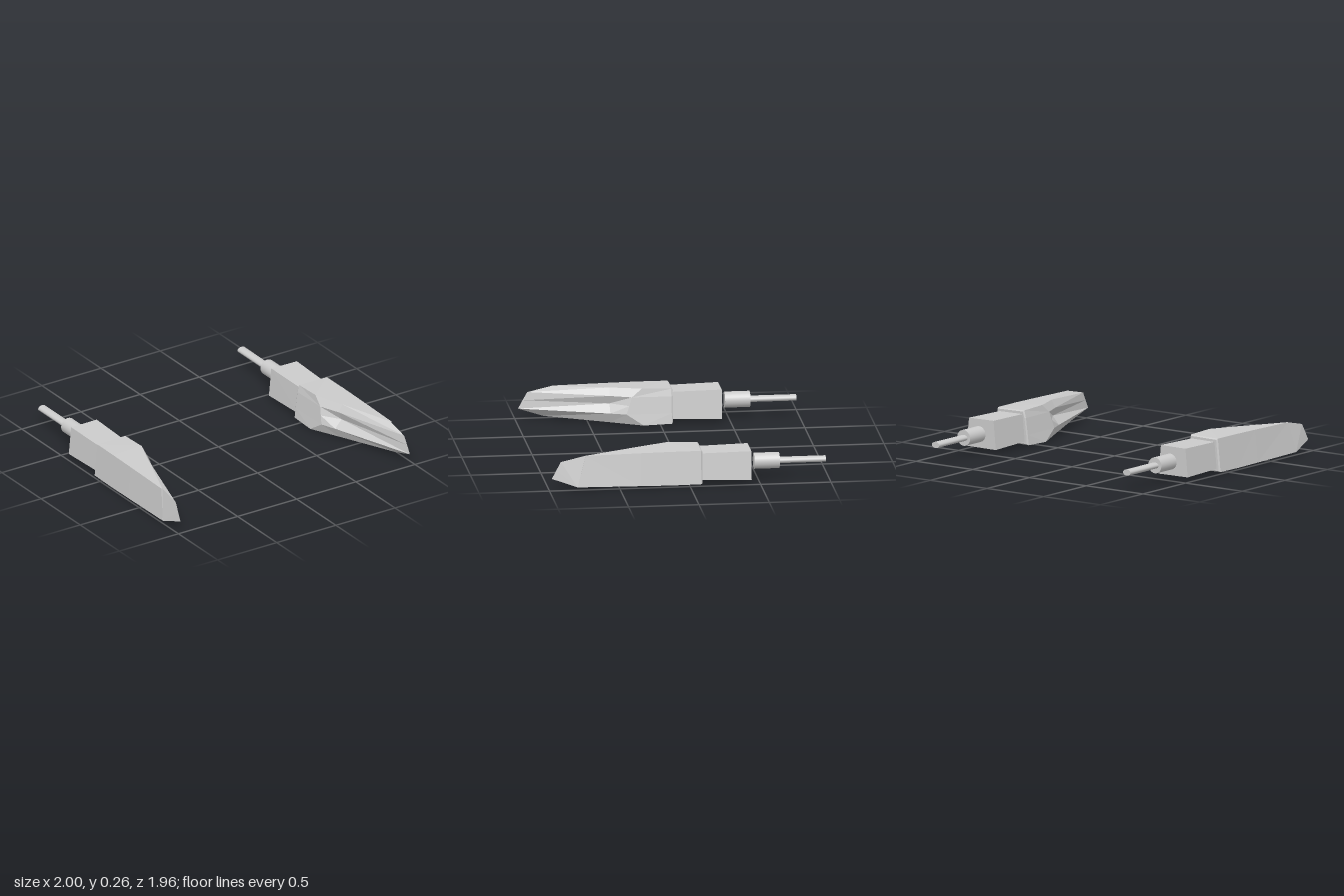
import * as THREE from 'three';

const smooth = new THREE.MeshStandardMaterial({ color: 0xcccccc });
const faceted = new THREE.MeshStandardMaterial({ color: 0xcccccc, flatShading: true });

// Skin rings of [x, y, z] points from back to front and cap both ends; side = -1 mirrors in x
function loft(rings, side) {
  const n = rings[0].length;
  const positions = [];
  const tri = (a, b, c) => {
    for (const p of side > 0 ? [a, b, c] : [a, c, b]) positions.push(p[0] * side, p[1], p[2]);
  };
  for (let s = 0; s < rings.length - 1; s++) {
    for (let j = 0; j < n; j++) {
      const k = (j + 1) % n;
      const [a, b, c, d] = [rings[s][j], rings[s][k], rings[s + 1][k], rings[s + 1][j]];
      tri(a, b, c);
      tri(a, c, d);
    }
  }
  const back = rings[0], front = rings[rings.length - 1];
  for (let j = 1; j < n - 1; j++) {
    tri(back[0], back[j + 1], back[j]);
    tri(front[0], front[j], front[j + 1]);
  }
  const geometry = new THREE.BufferGeometry();
  geometry.setAttribute('position', new THREE.Float32BufferAttribute(positions, 3));
  geometry.computeVertexNormals();
  return geometry;
}

// Each ring: outer bottom, outer top, inner top, inner upper, groove, inner lower, inner bottom
const bodyRings = [
  // slightly bevelled back edge
  [[0.985, 0.02, -0.09], [0.962, 0.242, -0.09], [0.742, 0.245, -0.09], [0.728, 0.2, -0.09],
    [0.72, 0.14, -0.09], [0.712, 0.08, -0.09], [0.708, 0.015, -0.09]],
  [[0.994, 0.013, -0.08], [0.97, 0.25, -0.08], [0.735, 0.253, -0.08], [0.722, 0.2, -0.08],
    [0.714, 0.14, -0.08], [0.706, 0.08, -0.08], [0.697, 0.007, -0.08]],
  // bend where the inner side starts to taper
  [[0.996, 0.011, 0.12], [0.972, 0.25, 0.13], [0.735, 0.26, 0.13], [0.728, 0.2, 0.2],
    [0.72, 0.14, 0.22], [0.712, 0.08, 0.24], [0.697, 0, 0.12]],
  // recessed groove in the taper
  [[0.998, 0.014, 0.35], [0.972, 0.247, 0.35], [0.818, 0.254, 0.35], [0.787, 0.2, 0.35],
    [0.81, 0.14, 0.35], [0.754, 0.08, 0.35], [0.792, 0.007, 0.35]],
  // tip
  [[1, 0.02, 0.8], [0.972, 0.24, 0.74], [0.965, 0.24, 0.74], [0.965, 0.2, 0.915],
    [0.968, 0.14, 0.948], [0.97, 0.08, 0.98], [0.975, 0.02, 0.8]],
];

const sleeveRing = (z, g) => [
  [0.967 + g, 0.035 - g, z], [0.947 + g, 0.225 + g, z],
  [0.745 - g, 0.227 + g, z], [0.725 - g, 0.033 - g, z],
];
const sleeveRings = [sleeveRing(-0.44, 0.007), sleeveRing(-0.08, 0)];

// Cylinder lying along z between two depths, with separate x and y radii
function rod(rx, ry, z0, z1) {
  const geometry = new THREE.CylinderGeometry(1, 1, z1 - z0, 24);
  geometry.rotateX(Math.PI / 2);
  geometry.scale(rx, ry, 1);
  return geometry;
}

function createUnit(side) {
  const unit = new THREE.Group();
  unit.name = side > 0 ? 'leftUnit' : 'rightUnit';
  const add = (name, geometry, material, x = 0, y = 0, z = 0) => {
    const mesh = new THREE.Mesh(geometry, material);
    mesh.name = name;
    mesh.position.set(x * side, y, z);
    unit.add(mesh);
  };
  add('taperedBody', loft(bodyRings, side), faceted);
  add('rearSleeve', loft(sleeveRings, side), faceted);
  add('collar', rod(0.057, 0.057, -0.65, -0.47), smooth, 0.843, 0.132, -0.56);
  add('rearRod', rod(0.033, 0.022, -0.98, -0.64), smooth, 0.843, 0.132, -0.81);
  return unit;
}

export function createModel() {
  const model = new THREE.Group();
  model.name = 'pairedTaperedUnits';
  for (const side of [1, -1]) model.add(createUnit(side));
  return model;
}
